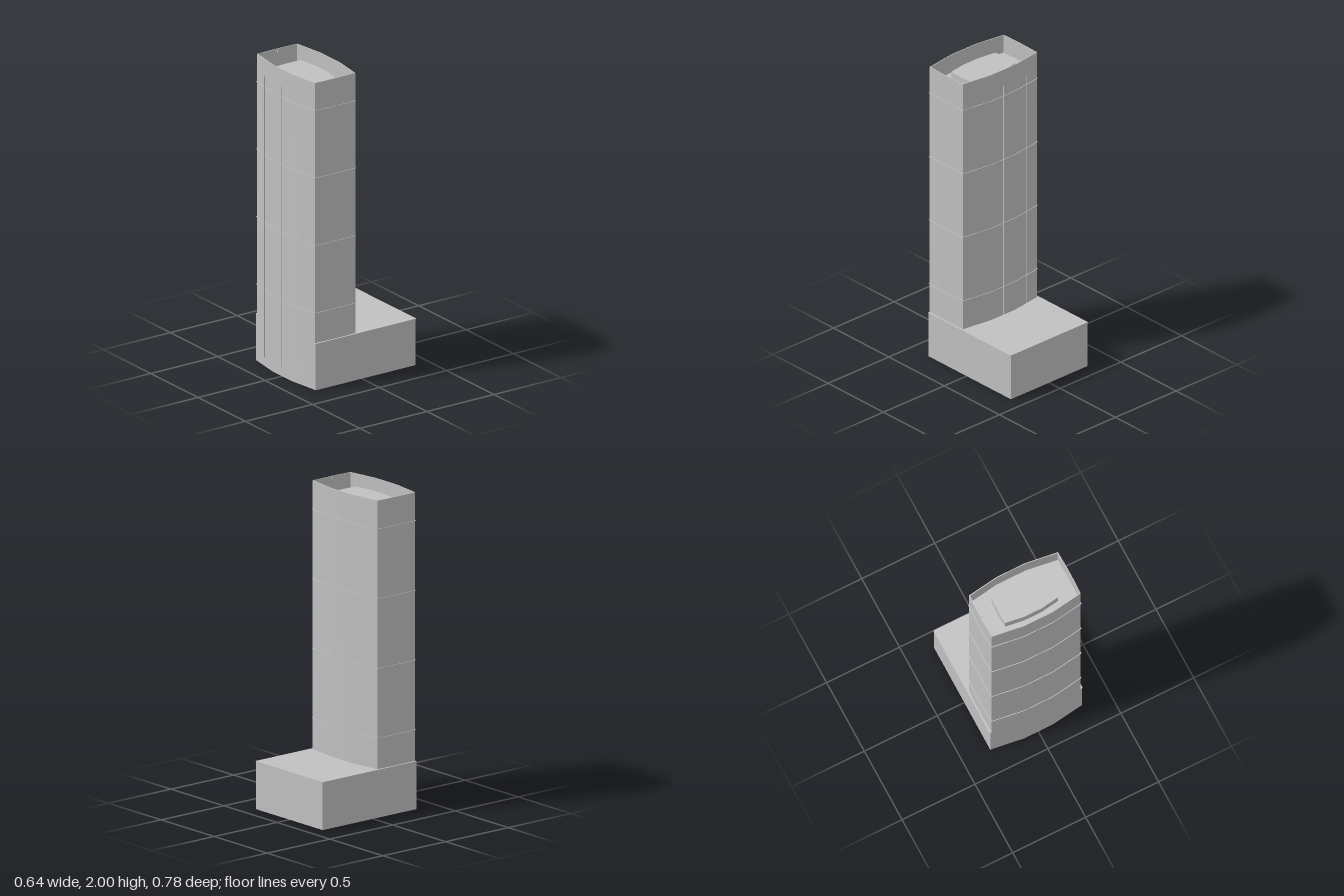
import * as THREE from 'three';
import { toCreasedNormals } from 'three/addons/utils/BufferGeometryUtils.js';

const TOWER_Z = 0.194;

// Eight-to-twelve sided plan: every side is a shallow three-facet bow
function plan(cornerX, cornerZ, bowX, bowZ, flatX, flatZ) {
  const q = [[bowX, flatZ], [cornerX, cornerZ], [flatX, bowZ]];
  const points = [];
  for (const [sx, sz] of [[1, 1], [-1, 1], [-1, -1], [1, -1]]) {
    const quarter = q.map(([x, z]) => new THREE.Vector2(x * sx, z * sz));
    points.push(...(sx * sz > 0 ? quarter : quarter.reverse()));
  }
  return points;
}

// Tower plan grown or shrunk by an offset
const towerPlan = (o) => plan(0.305 + o, 0.151 + o, 0.309 + o, 0.18 + o, 0.1, 0.05);

const rectangle = (x, z) => [[x, z], [-x, z], [-x, -z], [x, -z]].map((p) => new THREE.Vector2(...p));

// Upright prism from a plan, optionally hollow, from y0 to y1
function prism(outer, inner, y0, y1) {
  const shape = new THREE.Shape(outer);
  if (inner) shape.holes.push(new THREE.Path(inner));
  const geometry = new THREE.ExtrudeGeometry(shape, { depth: y1 - y0, bevelEnabled: false });
  geometry.rotateX(-Math.PI / 2).translate(0, y0, 0);
  return toCreasedNormals(geometry, 0.25);
}

export function createModel() {
  const grey = new THREE.MeshStandardMaterial({ color: 0xc0c0c0 });
  grey.name = 'grey';
  const model = new THREE.Group();
  model.name = 'officeTower';

  const add = (name, geometry, x = 0, y = 0, z = 0) => {
    const mesh = new THREE.Mesh(geometry, grey);
    mesh.name = name;
    mesh.position.set(x, y, z);
    model.add(mesh);
  };

  // Podium: open below, with a slightly wider roof slab
  add('podiumWalls', prism(rectangle(0.315, 0.373), rectangle(0.312, 0.37), 0, 0.3), 0, 0, -0.028);
  add('podiumRoof', prism(rectangle(0.319, 0.374), null, 0.3, 0.304), 0, 0, -0.029);

  // Tower shell, rising past its roof as a parapet
  add('towerWalls', prism(towerPlan(0), towerPlan(-0.005), 0, 2), 0, 0, TOWER_Z);
  add('towerRoof', prism(towerPlan(-0.004), null, 1.875, 1.88), 0, 0, TOWER_Z);
  add('roofPlantRoom', prism(plan(0.182, 0.091, 0.186, 0.109, 0.06, 0.03), null, 1.88, 1.945), 0, 0, TOWER_Z);

  // Thin ledges around the tower
  for (const y of [0.5, 0.94, 1.38, 1.82]) {
    add('ledge', prism(towerPlan(0.004), towerPlan(-0.001), y, y + 0.001), 0, 0, TOWER_Z);
  }

  // Fine upright fins on the front and back
  for (const [x, wall] of [[0, 0.18], [-0.2, 0.1658]]) {
    for (const side of [-1, 1]) {
      const fin = new THREE.PlaneGeometry(0.006, 1.83).rotateY(Math.PI / 2);
      add('fin', fin, x, 0.975, TOWER_Z + side * (wall + 0.002));
    }
  }

  // Small lamps inside the parapet
  for (const side of [-1, 1]) {
    add('parapetLamp', new THREE.BoxGeometry(0.009, 0.009, 0.009), side * 0.297, 1.988, TOWER_Z);
  }

  return model;
}
